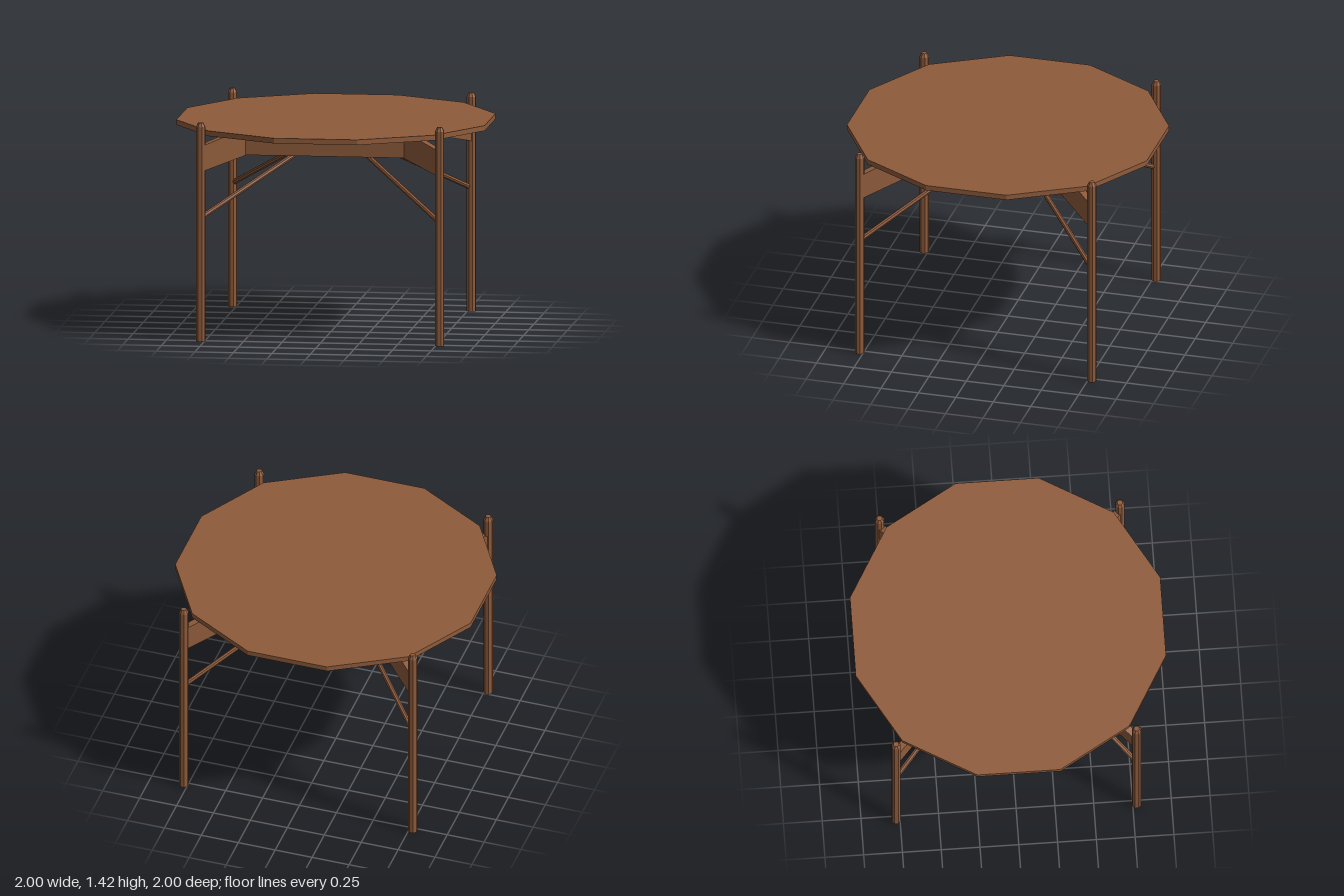
import * as THREE from 'three';

const wood = new THREE.MeshStandardMaterial({ color: 0x8f5b3b });
wood.name = 'warm brown wood';

function part(name, geometry, parent) {
  const flat = geometry.index ? geometry.toNonIndexed() : geometry;
  flat.computeVertexNormals();
  const mesh = new THREE.Mesh(flat, wood);
  mesh.name = name;
  parent.add(mesh);
  return mesh;
}

// One corner, built along +x and later turned onto a diagonal
function makeCorner() {
  const corner = new THREE.Group();
  const legDistance = 0.775 * Math.SQRT2;

  // Eight-sided post with a chamfered tip
  const r = 0.031;
  const profile = [[0, 0], [r, 0], [r, 1.395], [0.018, 1.42], [0, 1.42]];
  const post = new THREE.LatheGeometry(profile.map(([x, y]) => new THREE.Vector2(x, y)), 8);
  post.rotateY(Math.PI / 8);
  part('leg', post, corner).position.x = legDistance;

  // Sloping arm from apron to leg
  const arm = new THREE.Shape([
    [0.68, 1.185], [0.748, 1.18], [1.09, 1.107], [1.09, 1.273], [0.857, 1.33], [0.68, 1.33],
  ].map(([x, y]) => new THREE.Vector2(x, y)));
  const thickness = 0.045;
  const armGeometry = new THREE.ExtrudeGeometry(arm, { depth: thickness, bevelEnabled: false });
  armGeometry.translate(0, 0, -thickness / 2);
  part('arm', armGeometry, corner);

  // Thin round brace from leg to underside
  const low = new THREE.Vector3(1.085, 0.808, 0);
  const high = new THREE.Vector3(0.216, 1.2, 0);
  const dir = high.clone().sub(low);
  const brace = part('brace', new THREE.CylinderGeometry(0.017, 0.017, dir.length(), 8), corner);
  brace.position.copy(low).add(high).multiplyScalar(0.5);
  brace.quaternion.setFromUnitVectors(new THREE.Vector3(0, 1, 0), dir.normalize());
  return corner;
}

export function createModel() {
  const table = new THREE.Group();
  table.name = 'table';

  // Twelve-sided top with flat sides facing the axes
  const top = new THREE.CylinderGeometry(1 / Math.cos(Math.PI / 12), 1 / Math.cos(Math.PI / 12), 0.034, 12);
  top.rotateY(Math.PI / 12);
  part('tabletop', top, table).position.y = 1.345;

  // Square apron block
  part('apron', new THREE.BoxGeometry(1.09, 0.15, 1.09), table).position.y = 1.257;

  const names = ['frontLeft', 'backLeft', 'backRight', 'frontRight'];
  names.forEach((name, i) => {
    const corner = makeCorner();
    corner.name = name + 'Corner';
    corner.rotation.y = -Math.PI / 4 + i * Math.PI / 2;
    table.add(corner);
  });
  return table;
}
